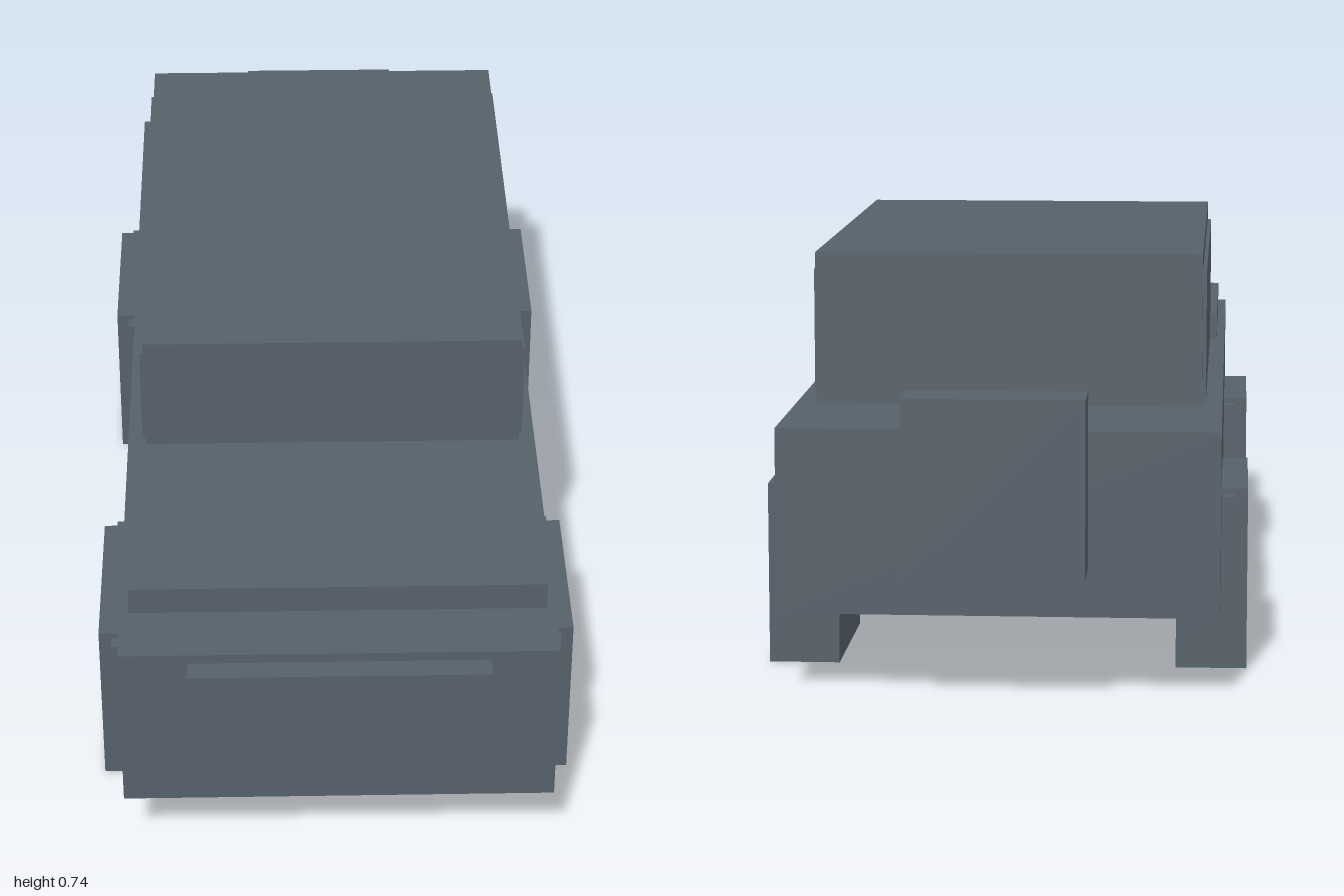
import * as THREE from 'three';

export function createModel() {
  const model = new THREE.Group();
  model.name = 'blockyOffRoader';
  const slate = new THREE.MeshStandardMaterial({ color: 0x56606a });
  slate.name = 'slate grey';

  // Box given by its lower and upper limits on each axis
  const box = (name, [x0, x1], [y0, y1], [z0, z1]) => {
    const mesh = new THREE.Mesh(new THREE.BoxGeometry(x1 - x0, y1 - y0, z1 - z0), slate);
    mesh.position.set((x0 + x1) / 2, (y0 + y1) / 2, (z0 + z1) / 2);
    mesh.name = name;
    model.add(mesh);
  };

  // Main volumes
  box('body', [-0.384, 0.384], [0.143, 0.468], [-0.9, 0.96]);
  box('hood', [-0.368, 0.368], [0.45, 0.52], [0.3, 0.84]);
  box('cabin', [-0.347, 0.347], [0.45, 0.742], [-0.62, 0.4]);
  box('grille', [-0.264, 0.264], [0.258, 0.45], [0.95, 1]);
  box('spareWheel', [-0.156, 0.156], [0.228, 0.537], [-1, -0.9]);

  // Mirrored side parts
  for (const [side, s] of [['left', 1], ['right', -1]]) {
    const span = (a, b) => (s > 0 ? [a, b] : [-b, -a]);
    box(side + 'SideWindow', span(0.346, 0.354), [0.472, 0.708], [-0.58, 0.38]);
    for (const [end, z] of [['Front', 0.558], ['Rear', -0.498]]) {
      box(side + end + 'Wheel', span(0.304, 0.431), [0, 0.328], [z - 0.163, z + 0.163]);
      box(side + end + 'Fender', span(0.37, 0.408), [0.18, 0.318], [z - 0.19, z + 0.19]);
    }
  }
  return model;
}
